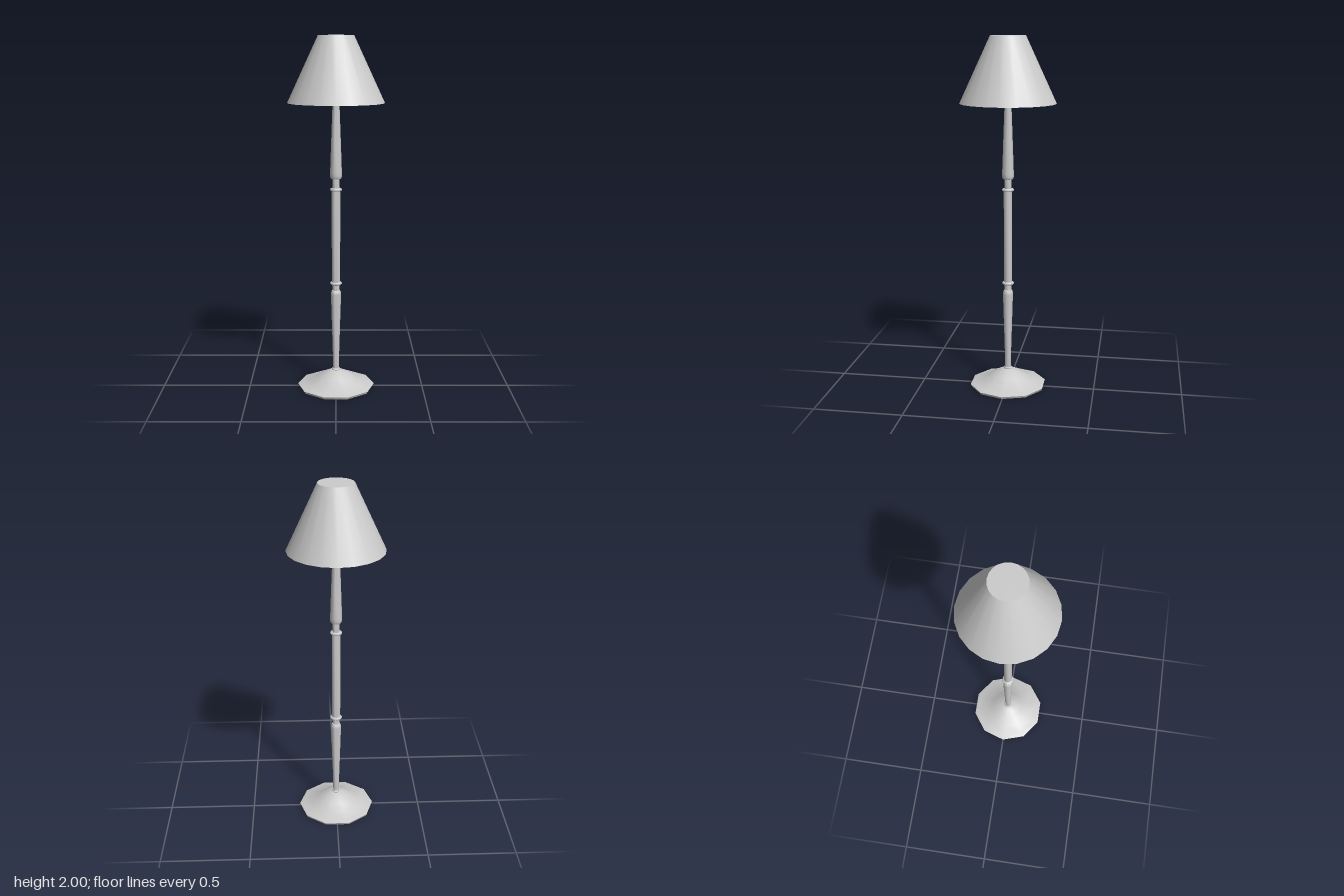
import * as THREE from 'three';
import { toCreasedNormals } from 'three/addons/utils/BufferGeometryUtils.js';

const material = new THREE.MeshStandardMaterial({ color: 0xcccccc });

// Turned part: [radius, height] pairs, listed upwards along the outside
function turned(name, profile, sides, crease = 0.7) {
  const points = profile.map(([r, y]) => new THREE.Vector2(r, y));
  const lathe = new THREE.LatheGeometry(points, sides, Math.PI / 2);
  const mesh = new THREE.Mesh(toCreasedNormals(lathe, crease), material);
  mesh.name = name;
  return mesh;
}

export function createModel() {
  const lamp = new THREE.Group();
  lamp.name = 'floorLamp';

  // Ten-sided foot with a swept upper side
  lamp.add(turned('base', [
    [0, 0], [0.214, 0], [0.22, 0.013], [0.2, 0.02], [0.135, 0.036],
    [0.095, 0.068], [0.05, 0.09], [0.02, 0.102], [0, 0.102],
  ], 10));
  lamp.add(turned('baseCollar', [
    [0, 0.098], [0.022, 0.098], [0.025, 0.104], [0.022, 0.11], [0, 0.11],
  ], 10));

  // Pole: flared lower section, straight shaft, tapered upper section
  lamp.add(turned('lowerPole', [
    [0, 0.105], [0.017, 0.105], [0.019, 0.22], [0.029, 0.55],
    [0.029, 0.562], [0.024, 0.574], [0.019, 0.576], [0.019, 0.61], [0, 0.61],
  ], 10));
  lamp.add(turned('shaft', [
    [0, 0.61], [0.024, 0.61], [0.024, 1.16], [0, 1.16],
  ], 10));
  lamp.add(turned('upperPole', [
    [0, 1.155], [0.02, 1.155], [0.02, 1.217], [0.029, 1.219], [0.033, 1.23],
    [0.033, 1.25], [0.026, 1.45], [0.019, 1.64], [0.015, 1.8], [0.015, 1.985], [0, 1.985],
  ], 10));

  // Rings at both ends of the shaft
  for (const [name, y] of [['lowerRing', 0.617], ['upperRing', 1.157]]) {
    const ring = turned(name, [
      [0, -0.008], [0.028, -0.008], [0.034, -0.003], [0.034, 0.003], [0.028, 0.008], [0, 0.008],
    ], 10, 1);
    ring.position.y = y;
    lamp.add(ring);
  }

  // Hollow shade, open below and closed on top
  lamp.add(turned('shade', [
    [0, 1.994], [0.093, 1.994], [0.262, 1.637], [0.268, 1.637], [0.098, 2], [0, 2],
  ], 20));

  return lamp;
}
